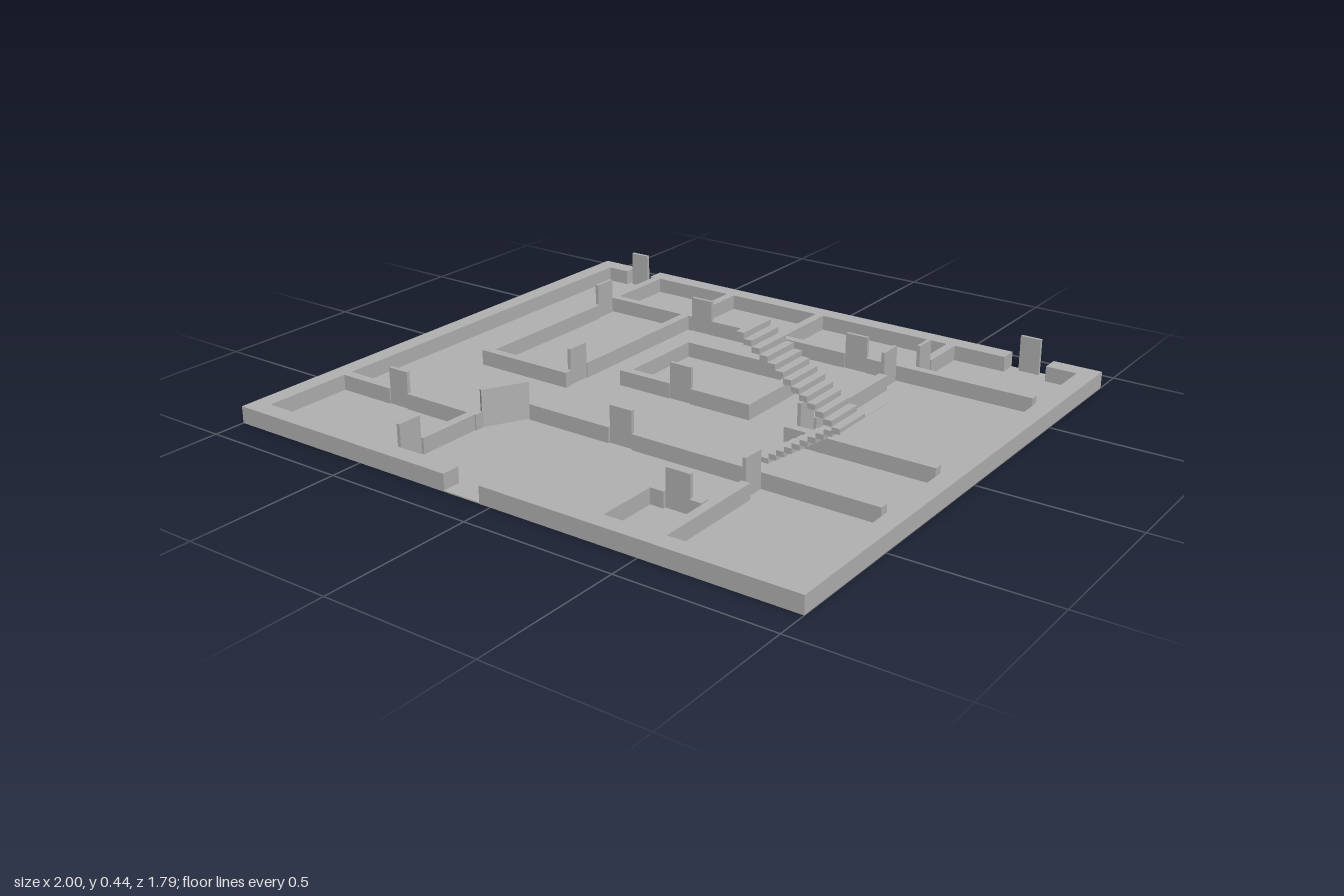
import * as THREE from 'three';

const WALL_H = 0.055, DOOR_H = 0.125;

export function createModel() {
  const model = new THREE.Group();
  const grey = new THREE.MeshStandardMaterial({ color: 0xb2b2b2, side: THREE.DoubleSide });
  grey.name = 'plain grey';

  const group = (name) => {
    const g = new THREE.Group();
    g.name = name;
    model.add(g);
    return g;
  };

  // Box given by its plan rectangle and its bottom and top heights
  const block = (parent, name, [x0, z0, x1, z1], y0, y1, openBottom = false) => {
    const geo = new THREE.BoxGeometry(x1 - x0, y1 - y0, z1 - z0);
    if (openBottom) {
      const index = Array.from(geo.index.array);
      index.splice(18, 6);
      geo.setIndex(index);
      geo.clearGroups();
    }
    const mesh = new THREE.Mesh(geo, grey);
    mesh.name = name;
    mesh.position.set((x0 + x1) / 2, (y0 + y1) / 2, (z0 + z1) / 2);
    parent.add(mesh);
    return mesh;
  };

  // Floor slab and the thresholds in the three outer doorways
  const floor = group('floor');
  block(floor, 'floorSlab', [-0.97, -0.865, 0.97, 0.865], 0, 0.004);
  [[-0.17, 0.865, -0.04, 0.895], [-0.86, -0.895, -0.75, -0.865], [0.69, -0.895, 0.835, -0.865]]
    .forEach((r) => block(floor, 'threshold', r, 0, 0.004));

  // Outer walls, hollow underneath
  const outer = group('outerWalls');
  [
    [-1, -0.895, -0.94, 0.895], [0.94, -0.895, 1, 0.895],
    [-0.94, 0.835, -0.17, 0.895], [-0.04, 0.835, 0.94, 0.895],
    [-0.94, -0.895, -0.86, -0.835], [-0.75, -0.895, 0.69, -0.835], [0.835, -0.895, 0.94, -0.835],
  ].forEach((r) => block(outer, 'outerWall', r, 0, WALL_H, true));

  // Rooms along the back
  const backRooms = group('backRoomWalls');
  [
    [-0.735, -0.59, -0.365, -0.56], [-0.283, -0.59, 0.25, -0.56], [0.33, -0.59, 0.915, -0.56],
    [-0.735, -0.84, -0.705, -0.59], [-0.405, -0.84, -0.375, -0.59],
    [-0.03, -0.84, 0, -0.59], [0.48, -0.84, 0.51, -0.67],
  ].forEach((r) => block(backRooms, 'backRoomWall', r, 0, WALL_H, true));

  // Side room, corridor walls and central enclosure
  const middle = group('middleWalls');
  [
    [-0.735, -0.47, -0.703, 0.11], [-0.703, 0.08, -0.38, 0.11], [-0.41, -0.56, -0.38, 0],
    [0.43, -0.47, 0.46, -0.04], [0.415, 0.04, 0.915, 0.07],
    [-0.255, -0.38, 0.24, -0.345], [-0.255, -0.345, -0.225, -0.01], [0.205, -0.345, 0.24, -0.01],
    [-0.225, -0.04, -0.06, -0.01], [0.02, -0.04, 0.205, -0.01],
  ].forEach((r) => block(middle, 'middleWall', r, 0, WALL_H, true));

  // Rooms along the front
  const frontRooms = group('frontRoomWalls');
  [
    [-0.305, 0.345, 0, 0.375], [0.085, 0.345, 0.915, 0.375],
    [-0.94, 0.5, -0.74, 0.532], [-0.665, 0.5, -0.38, 0.532], [-0.415, 0.532, -0.385, 0.75],
    [0.52, 0.45, 0.55, 0.835], [0.315, 0.6, 0.345, 0.835],
    [0.345, 0.6, 0.39, 0.632], [0.475, 0.6, 0.515, 0.632],
  ].forEach((r) => block(frontRooms, 'frontRoomWall', r, 0, WALL_H, true));

  // Doors standing across x: start, end, z
  const doors = group('doors');
  const T = 0.006;
  [
    [-0.845, -0.775, -0.855], [0.725, 0.795, -0.878],
    [-0.365, -0.283, -0.567], [0.25, 0.33, -0.57], [-0.06, 0.02, -0.02],
    [0, 0.08, 0.362], [-0.74, -0.665, 0.522], [0.39, 0.472, 0.617],
  ].forEach(([a, b, z]) => block(doors, 'door', [a, z - T, b, z + T], 0, DOOR_H));

  // Doors standing along z: start, end, x
  [
    [-0.555, -0.475, -0.717], [0, 0.08, -0.39], [0.75, 0.832, -0.4], [-0.67, -0.595, 0.5],
    [-0.555, -0.475, 0.438], [-0.04, 0.035, 0.445], [0.375, 0.45, 0.529],
  ].forEach(([a, b, x]) => block(doors, 'door', [x - T, a, x + T, b], 0, DOOR_H));

  // Slanted double door: two leaves end to end
  const from = new THREE.Vector2(-0.387, 0.5), to = new THREE.Vector2(-0.315, 0.365);
  const run = to.clone().sub(from), half = run.length() / 2;
  for (const t of [0.25, 0.75]) {
    const leaf = block(doors, 'slantedDoorLeaf', [-half / 2, -T, half / 2, T], 0, DOOR_H);
    leaf.position.x = from.x + run.x * t;
    leaf.position.z = from.y + run.y * t;
    leaf.rotation.y = -Math.atan2(run.y, run.x);
  }

  // Two flights of floating steps, turning at the landing
  const stairs = group('stairs');
  const N = 13, RISE = 0.0172, RUN = 0.0258;
  for (let i = 0; i < N; i++) {
    const xl = 0.435 + i * RUN, xu = 0.77 - i * RUN;
    block(stairs, 'lowerStep', [xl, 0.088, xl + RUN, 0.223], i * RISE + 0.003, i * RISE + 0.02);
    const y = 0.22 + i * RISE;
    block(stairs, 'upperStep', [xu - RUN, 0.223, xu, 0.358], y, y + 0.017);
  }
  const landing = new THREE.Mesh(new THREE.PlaneGeometry(0.14, 0.27).rotateX(-Math.PI / 2), grey);
  landing.name = 'landing';
  landing.position.set(0.84, 0.225, 0.223);
  stairs.add(landing);

  return model;
}
